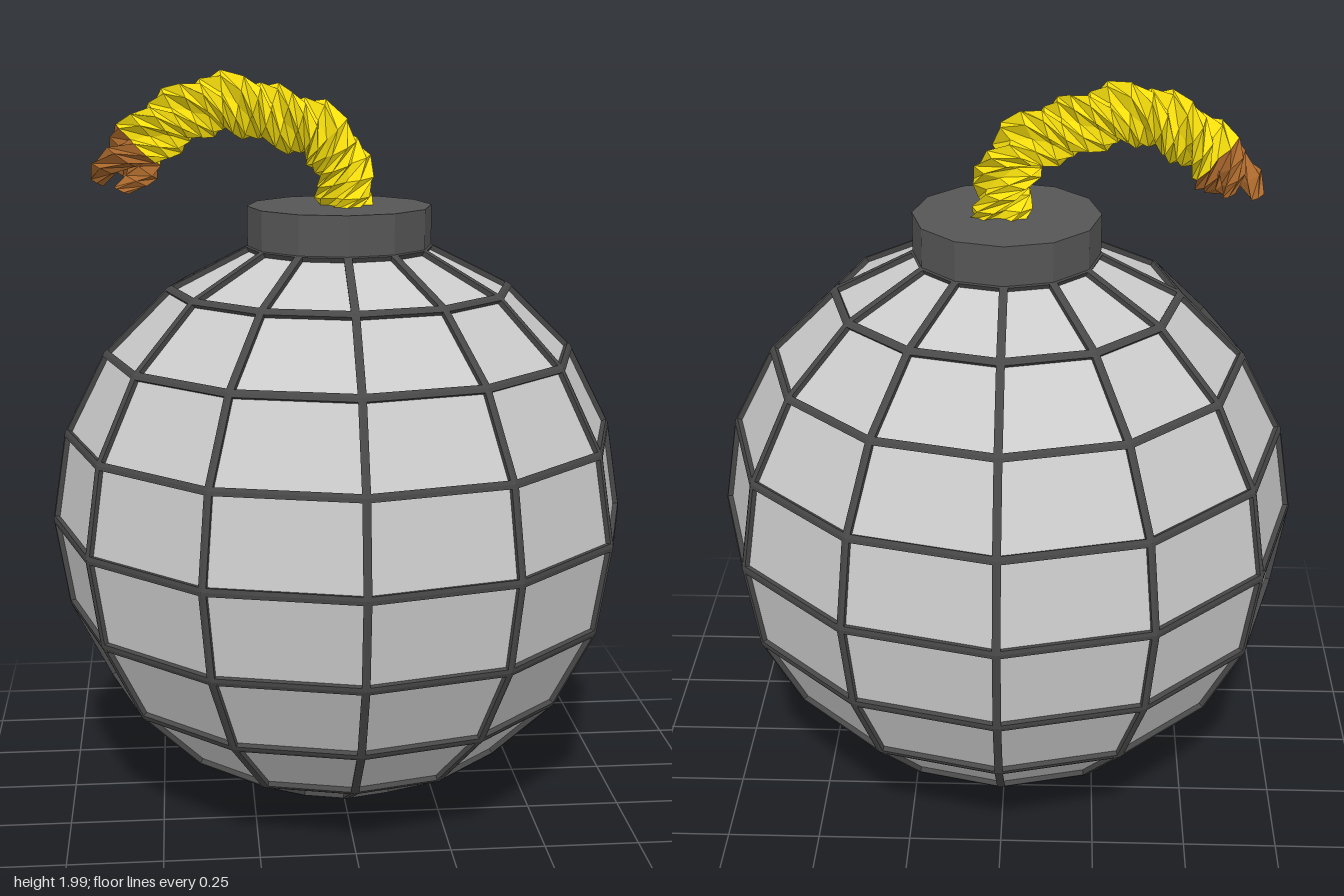
import * as THREE from 'three';

const RADIUS = 0.785, CENTER_Y = 0.79, SIDES = 12, RINGS = 10;
const FRAME_HALF = 0.011, RECESS = 0.014;

const mat = (color, extra = {}) =>
  new THREE.MeshStandardMaterial({ color, flatShading: true, ...extra });

// Flat-faced geometry from a plain triangle list of Vector3
function fromTriangles(points) {
  const g = new THREE.BufferGeometry().setFromPoints(points);
  g.computeVertexNormals();
  return g;
}

const quad = (out, a, b, c, d) => out.push(a, b, c, a, c, d);

// Moves every corner of a convex polygon inward by w along its plane
function insetPolygon(poly, w) {
  return poly.map((p, i) => {
    const n = poly.length;
    const d1 = poly[(i + n - 1) % n].clone().sub(p).normalize();
    const d2 = poly[(i + 1) % n].clone().sub(p).normalize();
    const sin = d1.clone().cross(d2).length();
    return p.clone().addScaledVector(d1.add(d2), w / sin);
  });
}

// Point on the faceted ball: ring 0 is the bottom pole
function ballPoint(ring, side) {
  const lat = -Math.PI / 2 + (ring / RINGS) * Math.PI;
  const a = (side / SIDES) * Math.PI * 2;
  return new THREE.Vector3(
    RADIUS * Math.cos(lat) * Math.sin(a),
    CENTER_Y + RADIUS * Math.sin(lat),
    RADIUS * Math.cos(lat) * Math.cos(a));
}

// Ball shell: raised dark frame bars around recessed panels
function createBall() {
  const frame = [], panels = [];
  for (let r = 0; r < RINGS - 1; r++) {
    for (let s = 0; s < SIDES; s++) {
      const poly = r === 0
        ? [ballPoint(0, 0), ballPoint(1, s + 1), ballPoint(1, s)]
        : [ballPoint(r, s), ballPoint(r, s + 1), ballPoint(r + 1, s + 1), ballPoint(r + 1, s)];
      const normal = poly[1].clone().sub(poly[0])
        .cross(poly[2].clone().sub(poly[0])).normalize();
      const rim = insetPolygon(poly, FRAME_HALF);
      const floor = rim.map(p => p.clone().addScaledVector(normal, -RECESS));
      poly.forEach((p, i) => {
        const j = (i + 1) % poly.length;
        quad(frame, p, poly[j], rim[j], rim[i]);
        quad(frame, rim[i], rim[j], floor[j], floor[i]);
      });
      for (let i = 1; i < floor.length - 1; i++) panels.push(floor[0], floor[i], floor[i + 1]);
    }
  }
  const group = new THREE.Group();
  group.name = 'ball';
  const frameMesh = new THREE.Mesh(fromTriangles(frame), mat(0x484848));
  frameMesh.name = 'panelFrame';
  const panelMesh = new THREE.Mesh(fromTriangles(panels), mat(0xcccccc));
  panelMesh.name = 'panels';
  group.add(frameMesh, panelMesh);
  return group;
}

// Centre line of the fuse
const fusePath = new THREE.CatmullRomCurve3([
  [0.02, 1.58], [0.01, 1.72], [-0.04, 1.82], [-0.16, 1.87],
  [-0.31, 1.91], [-0.45, 1.86], [-0.55, 1.77], [-0.6, 1.68],
].map(([x, y]) => new THREE.Vector3(x, y, 0)));

// One twisted strand between two fractions of the path
function strandGeometry(phase, from, to, steps, offset, radius) {
  const TURNS = 2.5, FACETS = 6, rings = [], tris = [];
  for (let i = 0; i <= steps; i++) {
    const k = i / steps, t = from + (to - from) * k;
    const c = fusePath.getPointAt(t), tan = fusePath.getTangentAt(t);
    const n = new THREE.Vector3(-tan.y, tan.x, 0), b = new THREE.Vector3(0, 0, 1);
    const twist = phase + t * TURNS * Math.PI * 2;
    const off = offset(k), rad = radius(k);
    rings.push(Array.from({ length: FACETS }, (_, f) => {
      const a = twist + (f / FACETS) * Math.PI * 2;
      return c.clone()
        .addScaledVector(n, Math.cos(twist) * off + Math.cos(a) * rad)
        .addScaledVector(b, Math.sin(twist) * off + Math.sin(a) * rad);
    }));
  }
  for (let i = 0; i < steps; i++) {
    for (let f = 0; f < FACETS; f++) {
      const g = (f + 1) % FACETS;
      quad(tris, rings[i][f], rings[i][g], rings[i + 1][g], rings[i + 1][f]);
    }
  }
  // End caps
  const first = rings[0], last = rings[steps];
  for (let f = 1; f < FACETS - 1; f++) {
    tris.push(first[0], first[f + 1], first[f], last[0], last[f], last[f + 1]);
  }
  return fromTriangles(tris);
}

// Three yellow strands with burnt, ragged brown ends
function createFuse() {
  const group = new THREE.Group();
  group.name = 'fuse';
  const yellow = mat(0xf7df0c), brown = mat(0xaa682c);
  const SPLIT = 0.85, ends = [1, 0.95, 0.98];
  for (let s = 0; s < 3; s++) {
    const phase = 0.5 + (s / 3) * Math.PI * 2;
    const rope = new THREE.Mesh(
      strandGeometry(phase, 0, SPLIT, 19, () => 0.042, () => 0.045), yellow);
    rope.name = 'ropeStrand' + (s + 1);
    const tip = new THREE.Mesh(
      strandGeometry(phase, SPLIT, ends[s], 3,
        k => 0.042 + 0.012 * k, k => 0.047 - 0.026 * k * k), brown);
    tip.name = 'burntTip' + (s + 1);
    group.add(rope, tip);
  }
  return group;
}

export function createModel() {
  const model = new THREE.Group();
  model.name = 'bomb';
  model.add(createBall());

  // Collar closing the top of the ball
  const collar = new THREE.Mesh(
    new THREE.CylinderGeometry(0.247, 0.247, 0.11, SIDES), mat(0x555555));
  collar.name = 'collar';
  collar.position.y = 1.585;
  model.add(collar);

  model.add(createFuse());
  return model;
}
